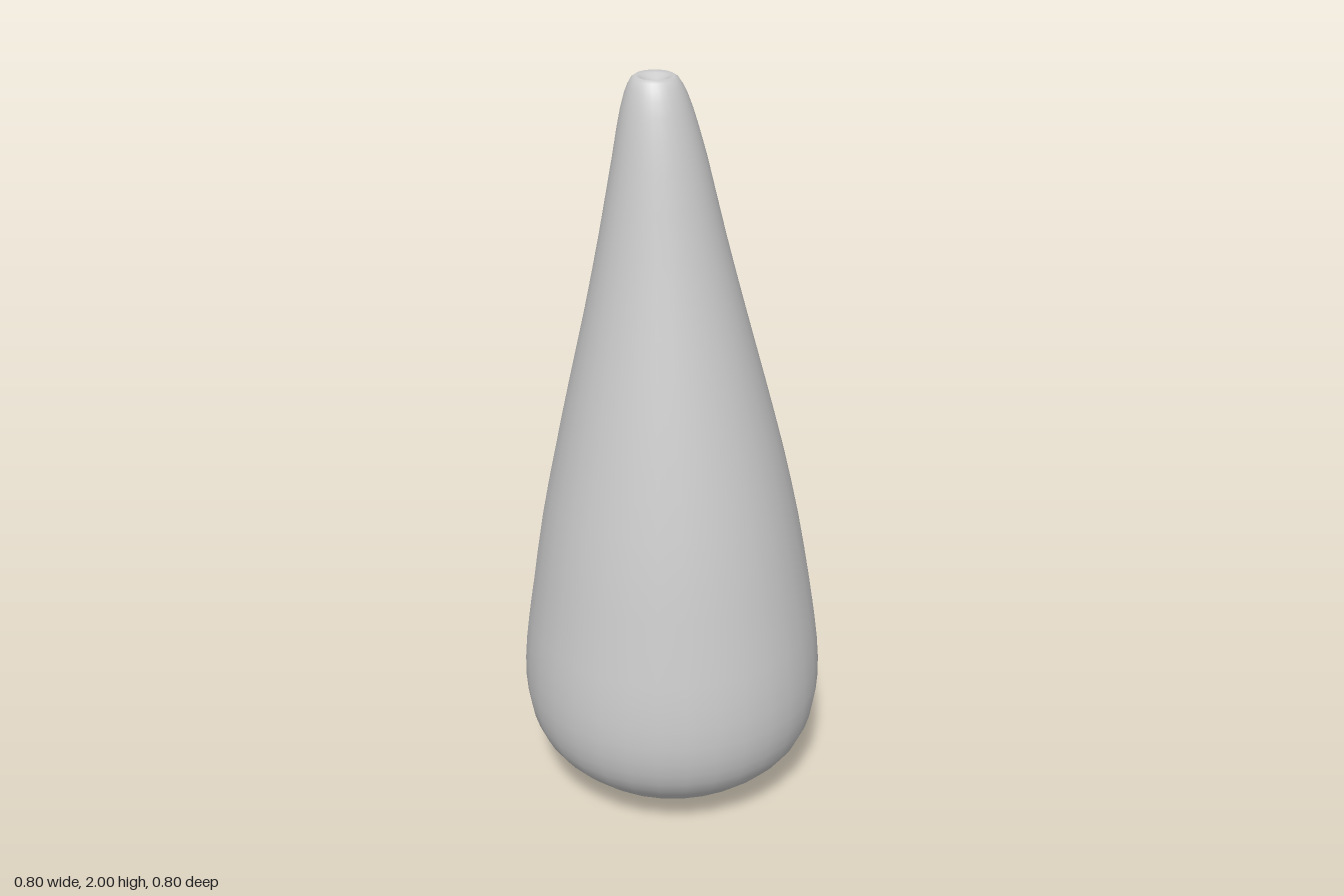
import * as THREE from 'three';
import { mergeVertices } from 'three/addons/utils/BufferGeometryUtils.js';

const V = (r, y) => new THREE.Vector2(r, y);

// Underside profiles [radius, height], centre outwards
const frontBase = [[0, 0.02], [0.07, 0.026], [0.14, 0.038], [0.24, 0.072], [0.31, 0.125], [0.36, 0.182], [0.388, 0.25]];
const backBase = [[0, 0.02], [0.1, 0.011], [0.19, 0.003], [0.25, 0.015], [0.315, 0.07], [0.365, 0.16], [0.39, 0.245]];
// Tapering wall and dimpled tip, shared by all sides
const wall = [[0.4, 0.34], [0.394, 0.46], [0.374, 0.6], [0.341, 0.8], [0.299, 1.0], [0.252, 1.2],
  [0.203, 1.4], [0.157, 1.6], [0.115, 1.8], [0.087, 1.92], [0.066, 1.978], [0.047, 2.0], [0.022, 1.988], [0, 1.982]];
// Drift of the axis towards the tip: height -> x, z
const lean = [[0, 0, 0], [0.6, 0, 0.003], [1.0, 0.0, 0.012], [1.4, -0.002, 0.026], [1.8, -0.007, 0.04], [2.01, -0.016, 0.048]];

function axisAt(y) {
  let i = 0;
  while (i < lean.length - 2 && y > lean[i + 1][0]) i++;
  const [a, b] = [lean[i], lean[i + 1]];
  const t = (y - a[0]) / (b[0] - a[0]);
  return [a[1] + (b[1] - a[1]) * t, a[2] + (b[2] - a[2]) * t];
}

function sample(base) {
  const pts = [...base, ...wall].map(([r, y]) => V(r, y));
  const out = new THREE.SplineCurve(pts).getPoints((pts.length - 1) * 2);
  out.forEach((p) => { p.x = Math.max(0, p.x); p.y = Math.min(2, Math.max(0, p.y)); });
  return out;
}

export function createModel() {
  const group = new THREE.Group();
  group.name = 'taperedBody';

  const segments = 32;
  const front = sample(frontBase);
  const back = sample(backBase);
  let geometry = new THREE.LatheGeometry(front, segments);
  const pos = geometry.attributes.position;

  // Blend into the fuller keel at the back and lean the tip
  for (let s = 0; s <= segments; s++) {
    const phi = (s / segments) * Math.PI * 2;
    const w = Math.pow((1 - Math.cos(phi)) / 2, 3);
    for (let j = 0; j < front.length; j++) {
      const p = front[j].clone().lerp(back[j], w);
      const [cx, cz] = axisAt(p.y);
      pos.setXYZ(s * front.length + j, p.x * Math.sin(phi) + cx, p.y, p.x * Math.cos(phi) + cz);
    }
  }

  // Weld the seam so the shading stays smooth all round
  geometry.deleteAttribute('normal');
  geometry.deleteAttribute('uv');
  geometry = mergeVertices(geometry, 1e-4);
  geometry.computeVertexNormals();

  const body = new THREE.Mesh(geometry, new THREE.MeshStandardMaterial({ color: 0xcccccc }));
  body.name = 'body';
  group.add(body);
  return group;
}
